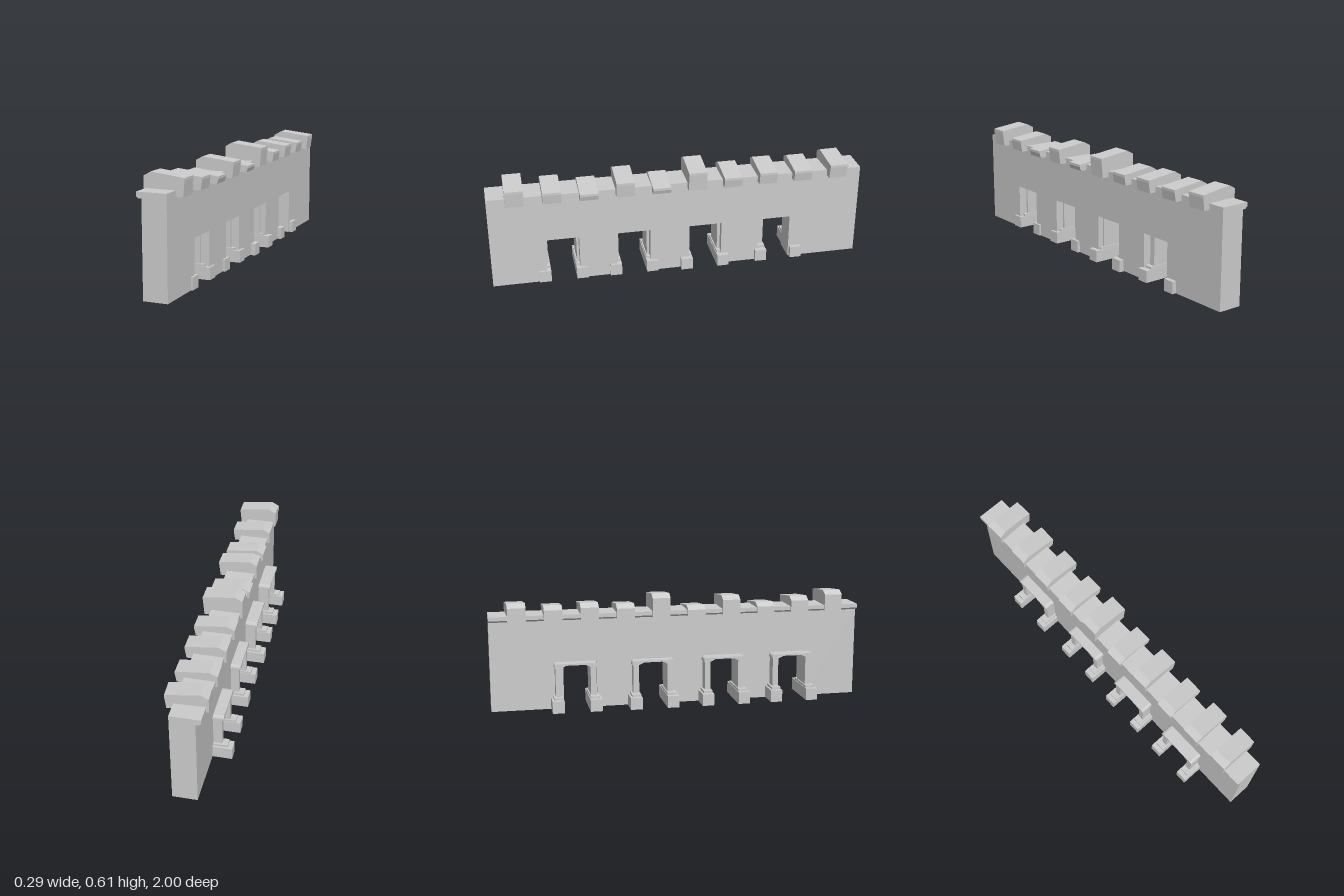
import * as THREE from 'three';

const material = new THREE.MeshStandardMaterial({ color: 0xcccccc, flatShading: true });

function shapeOf(points) {
  return new THREE.Shape(points.map(([x, y]) => new THREE.Vector2(x, y)));
}

function addMesh(parent, name, geometry) {
  const mesh = new THREE.Mesh(geometry, material);
  mesh.name = name;
  parent.add(mesh);
  return mesh;
}

// Extrudes an (x, y) profile along z, centred on z = 0.
function alongZ(points, length) {
  return new THREE.ExtrudeGeometry(shapeOf(points), { depth: length, bevelEnabled: false })
    .translate(0, 0, -length / 2);
}

// Extrudes a (-z, y) profile along x, from x0 to x1.
function alongX(points, x0, x1) {
  return new THREE.ExtrudeGeometry(shapeOf(points), { depth: x1 - x0, bevelEnabled: false })
    .rotateY(Math.PI / 2).translate(x0, 0, 0);
}

function box(x0, x1, y0, y1, z0, z1) {
  return new THREE.BoxGeometry(x1 - x0, y1 - y0, z1 - z0)
    .translate((x0 + x1) / 2, (y0 + y1) / 2, (z0 + z1) / 2);
}

// Gateway: open frame with a lintel, standing on stepped plinths through the wall.
function createGateway() {
  const gateway = new THREE.Group();
  gateway.name = 'gateway';
  const inner = 0.077, outer = 0.108;

  for (const s of [-1, 1]) {
    const span = (a, b) => (s > 0 ? [a, b] : [-b, -a]);
    addMesh(gateway, 'plinth', box(-0.143, 0.108, 0.004, 0.068, ...span(0.068, 0.131)));
    addMesh(gateway, 'plinthStep', box(-0.118, 0.075, 0.068, 0.08, ...span(0.071, 0.12)));
    addMesh(gateway, 'pillar', box(-0.088, 0.05, 0.08, 0.235, ...span(inner, outer)));
  }

  // Lintel with softened outer corners and a chamfered underside
  addMesh(gateway, 'lintel', alongX([
    [-outer - 0.006, 0.235], [-inner, 0.235], [-0.05, 0.248], [0.05, 0.248],
    [inner, 0.235], [outer + 0.006, 0.235], [outer + 0.006, 0.245],
    [outer + 0.002, 0.254], [outer - 0.008, 0.257],
    [-outer + 0.008, 0.257], [-outer - 0.002, 0.254], [-outer - 0.006, 0.245],
  ], -0.098, 0.05));
  return gateway;
}

// Merlon: block with a two-slope cap and an outward leaning outer face.
function createMerlon(top) {
  return alongZ([
    [-0.068, 0.482], [0.133, 0.482], [0.141, top - 0.033], [0.141, top - 0.02],
    [-0.03, top], [-0.068, top - 0.021],
  ], 0.096);
}

export function createModel() {
  const model = new THREE.Group();
  model.name = 'battlementWall';

  // Wall outline with doorways cut up from the ground
  const doorCentres = [0.623, 0.243, -0.147, -0.529];
  const half = 0.089, base = 0.003;
  const outline = [[-1, base]];
  for (const z of doorCentres) {
    outline.push([-z - half, base], [-z - half, 0.25], [-z + half, 0.25], [-z + half, base]);
  }
  outline.push([1, base], [1, 0.482], [-1, 0.482]);
  addMesh(model, 'wall', alongX(outline, -0.03, 0.097));

  // Walkway ledge, overhanging one side
  addMesh(model, 'walkway', alongZ([
    [-0.045, 0.482], [0.097, 0.482], [0.097, 0.513], [-0.057, 0.513], [-0.057, 0.492],
  ], 2));

  // Gateways, each set at a slightly different depth: [x, y, z]
  const placements = [[0, 0, 0.623], [0.003, -0.001, 0.244], [0.015, -0.004, -0.143], [0.012, -0.001, -0.556]];
  for (const p of placements) {
    const gateway = createGateway();
    gateway.position.set(...p);
    model.add(gateway);
  }

  // Merlons of uneven height
  const tops = [0.592, 0.566, 0.54, 0.583, 0.536, 0.605, 0.557, 0.568, 0.561, 0.578];
  tops.forEach((top, i) => {
    const merlon = addMesh(model, 'merlon', createMerlon(top));
    merlon.position.z = 0.857 - i * 0.1905;
    if (i === tops.length - 1) merlon.rotation.y = 0.04;
  });

  return model;
}
